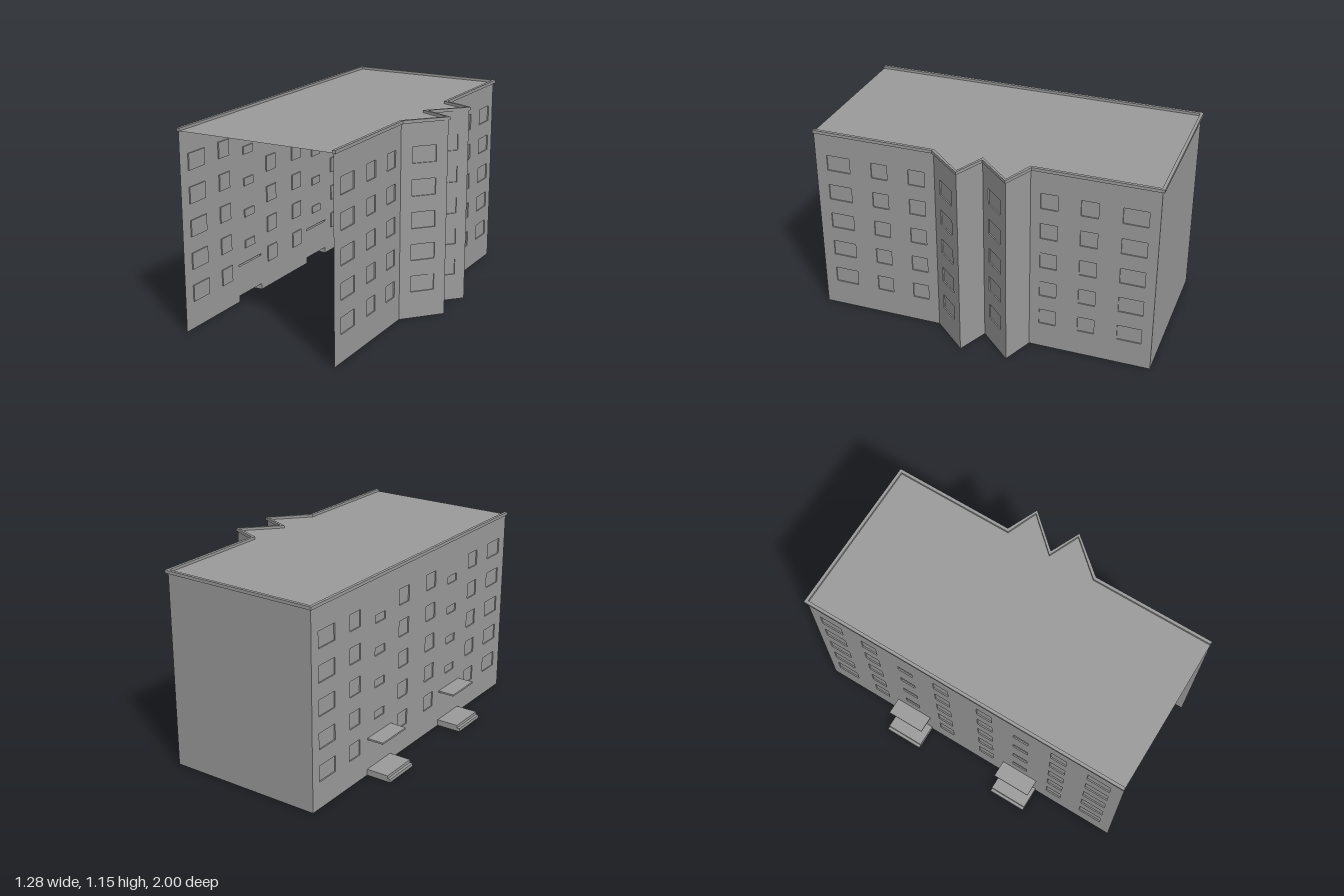
import * as THREE from 'three';

const material = new THREE.MeshStandardMaterial({ color: 0x9a9a9a, side: THREE.DoubleSide, flatShading: true });
const ROOF = 1.136, RIM_BASE = 1.133, RIM_TOP = 1.151, RECESS = 0.007, STEP = 0.187;

// Plan of the walls as [x, z], open at the front end
const plan = [
  [0.4435, 1], [0.4435, 0.275], [0.627, 0.07], [0.446, -0.01], [0.627, -0.205],
  [0.4435, -0.28], [0.4435, -0.99], [-0.49, -0.99], [-0.49, 1],
].map(([x, z]) => new THREE.Vector2(x, z));

// Rim overhang at each plan corner, smaller at the sharp tips
const overhang = [0.012, 0.012, 0.006, 0.009, 0.006, 0.012, 0.012, 0.012, 0.012];

const porches = [[-0.49, -0.26], [0.26, 0.49]];
const PORCH_TOP = 0.037, CANOPY = [0.217, 0.227];

function add(parent, name, geometry) {
  const mesh = new THREE.Mesh(geometry, material);
  mesh.name = name;
  parent.add(mesh);
  return mesh;
}

// Box without one face (0..5 = +x -x +y -y +z -z)
function openBox(w, h, d, skip) {
  const g = new THREE.BoxGeometry(w, h, d);
  const index = Array.from(g.index.array);
  g.setIndex(index.filter((_, i) => Math.floor(i / 6) !== skip));
  g.clearGroups();
  return g;
}

function rectangle(x0, x1, y0, y1) {
  return new THREE.Path([[x0, y0], [x0, y1], [x1, y1], [x1, y0]].map(p => new THREE.Vector2(...p)));
}

// Window column: centre along the wall, width, height, lowest sill, number of floors
function column(u, w, h = 0.094, sill = 0.157, floors = 5) {
  return Array.from({ length: floors }, (_, i) => ({ u, w, h, y: sill + i * STEP + h / 2 }));
}

// Flat wall from a to b with recessed windows, slots and notches at the ground
function wall(parent, name, a, b, windows, spans) {
  const length = a.distanceTo(b);
  const group = new THREE.Group();
  group.name = name;
  group.position.set(a.x, 0, a.y);
  group.rotation.y = Math.atan2(a.y - b.y, b.x - a.x);
  const outline = [[0, 0]];
  for (const [s, e] of spans) outline.push([s, 0], [s, PORCH_TOP], [e, PORCH_TOP], [e, 0]);
  outline.push([length, 0], [length, ROOF], [0, ROOF]);
  const shape = new THREE.Shape(outline.map(p => new THREE.Vector2(...p)));
  for (const [s, e] of spans) shape.holes.push(rectangle(s, e, ...CANOPY));
  for (const { u, w, h, y } of windows) {
    shape.holes.push(rectangle(u - w / 2, u + w / 2, y - h / 2, y + h / 2));
    add(group, 'windowRecess', openBox(w, h, RECESS, 4)).position.set(u, y, -RECESS / 2);
  }
  add(group, 'wallPanel', new THREE.ShapeGeometry(shape));
  parent.add(group);
}

// Plan shifted sideways with mitred corners; positive is outward
function offsetPlan(distanceAt) {
  const normal = i => {
    const t = plan[i + 1].clone().sub(plan[i]).normalize();
    return new THREE.Vector2(-t.y, t.x);
  };
  return plan.map((p, i) => {
    const n0 = normal(Math.max(i - 1, 0)), n1 = normal(Math.min(i, plan.length - 2));
    const m = n0.clone().add(n1);
    return p.clone().addScaledVector(m, distanceAt(i) / (1 + n0.dot(n1)));
  });
}

const flat = points => new THREE.Shape(points.map(p => new THREE.Vector2(p.x, -p.y)));

// Two-step entrance platform, open underneath and toward the building
function porch(parent, z0, z1) {
  const group = new THREE.Group();
  group.name = 'entrance';
  const depth = z1 - z0, mid = (z0 + z1) / 2;
  const profile = [[-0.49, PORCH_TOP], [-0.623, PORCH_TOP], [-0.623, 0.02], [-0.64, 0.02], [-0.64, 0]];
  for (let i = 0; i < profile.length - 1; i++) {
    const [x0, y0] = profile[i], [x1, y1] = profile[i + 1];
    const level = y0 === y1;
    const g = new THREE.PlaneGeometry(level ? x0 - x1 : depth, level ? depth : y0 - y1);
    if (level) g.rotateX(-Math.PI / 2);
    else g.rotateY(-Math.PI / 2);
    add(group, level ? 'stepTread' : 'stepRiser', g).position.set((x0 + x1) / 2, (y0 + y1) / 2, mid);
  }
  const side = new THREE.Shape([...profile, [-0.49, 0]].map(p => new THREE.Vector2(...p)));
  for (const z of [z0, z1]) add(group, 'stepSide', new THREE.ShapeGeometry(side)).position.z = z;
  const [c0, c1] = CANOPY;
  add(group, 'canopy', openBox(0.1, c1 - c0, depth, 0)).position.set(-0.54, (c0 + c1) / 2, mid);
  parent.add(group);
}

export function createModel() {
  const model = new THREE.Group();
  model.name = 'apartmentBlock';

  // Columns by distance from the middle of the long sides
  const sideColumns = [[0.86, 0.14], [0.61, 0.097], [0.385, 0.097]];
  const names = ['frontSideWall', 'frontToothWall', 'frontToothReturn', 'backToothWall', 'backToothReturn',
    'backSideWall', 'backWall', 'entranceWall'];
  const windows = names.map(() => []);
  windows[0] = sideColumns.flatMap(([z, w]) => column(1 - z, w));
  windows[5] = sideColumns.flatMap(([z, w]) => column(z - 0.28, w));
  for (const i of [1, 3]) windows[i] = column(plan[i].distanceTo(plan[i + 1]) / 2, 0.14);
  for (const s of [-1, 1]) {
    for (const [z, w] of [[0.86, 0.14], [0.61, 0.097], [0.14, 0.097]]) windows[7].push(...column(0.99 + s * z, w));
    // Small stairwell windows between floors
    windows[7].push(...column(0.99 + s * 0.375, 0.095, 0.046, 0.314, 4));
  }
  const spans = porches.map(p => p.map(z => z + 0.99));
  names.forEach((name, i) => wall(model, name, plan[i], plan[i + 1], windows[i], i === 7 ? spans : []));

  // Roof slab and raised rim
  add(model, 'roof', new THREE.ShapeGeometry(flat(plan)).rotateX(-Math.PI / 2)).position.y = ROOF;
  const rim = flat([...offsetPlan(i => overhang[i]), ...offsetPlan(() => -0.006).reverse()]);
  const rimGeometry = new THREE.ExtrudeGeometry(rim, { depth: RIM_TOP - RIM_BASE, bevelEnabled: false });
  add(model, 'roofRim', rimGeometry.rotateX(-Math.PI / 2)).position.y = RIM_BASE;

  for (const [z0, z1] of porches) porch(model, z0, z1);
  return model;
}
